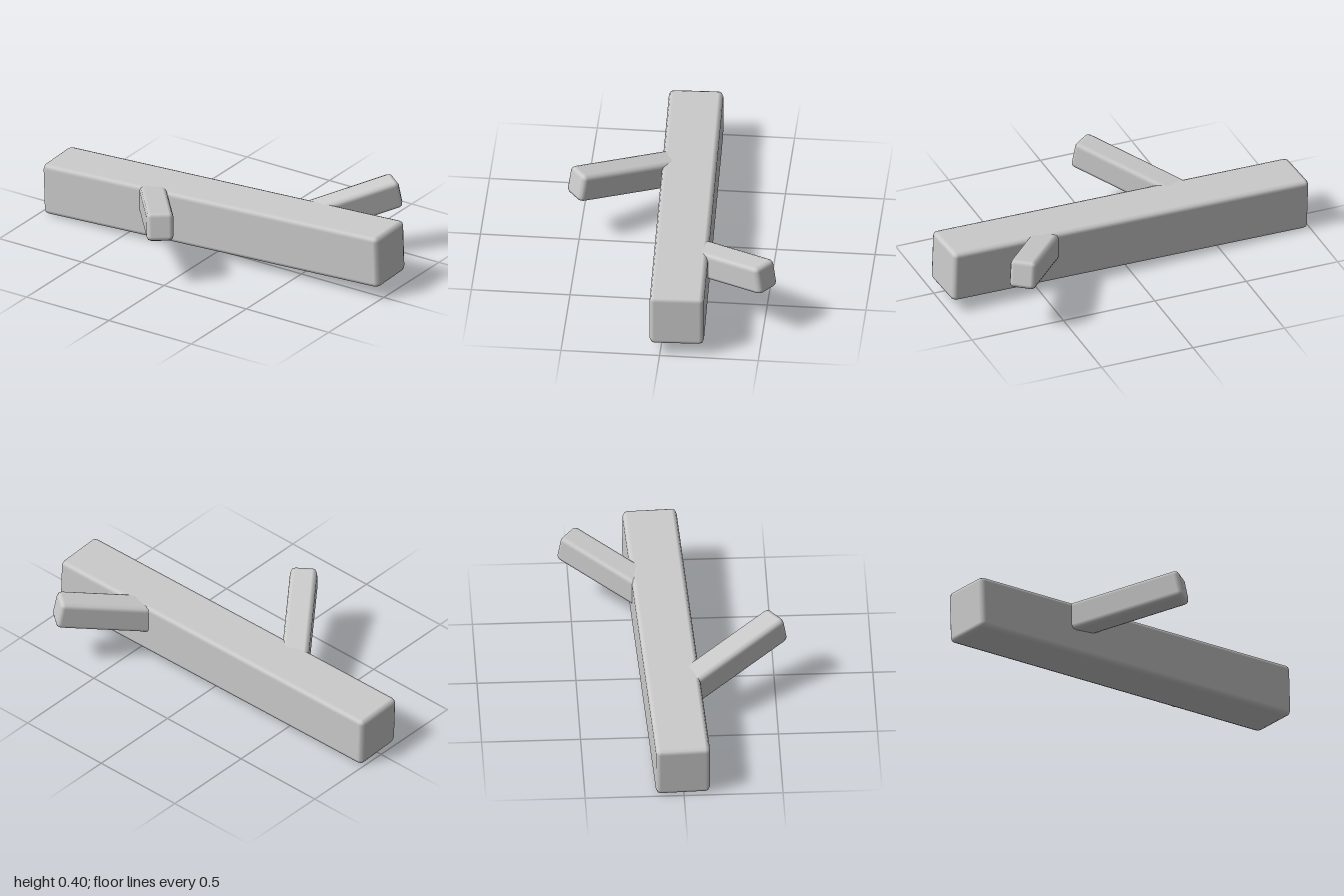
import * as THREE from 'three';
import { RoundedBoxGeometry } from 'three/addons/geometries/RoundedBoxGeometry.js';

export function createModel() {
  const group = new THREE.Group();
  group.name = 'branchedLog';
  const grey = new THREE.MeshStandardMaterial({ color: 0xcccccc });
  grey.name = 'light grey';

  // Softly bevelled beam running from one end point to the other
  function beam(name, from, to, width, height, bevel) {
    const a = new THREE.Vector3(...from);
    const b = new THREE.Vector3(...to);
    const geometry = new RoundedBoxGeometry(width, height, a.distanceTo(b), 1, bevel);
    const mesh = new THREE.Mesh(geometry, grey);
    mesh.name = name;
    mesh.position.copy(a).add(b).multiplyScalar(0.5);
    mesh.lookAt(b);
    group.add(mesh);
  }

  // Trunk: long square beam, slightly tilted and turned
  beam('trunk', [-0.99, 0.142, -0.003], [0.99, 0.208, -0.085], 0.275, 0.275, 0.025);

  // Side branches: rooted inside the trunk, rising outwards
  const length = 0.66;
  const yaw = THREE.MathUtils.degToRad(37.5);
  const rise = 0.197;
  for (const [name, tipX, side] of [['frontBranch', -0.008, 1], ['backBranch', 0.735, -1]]) {
    const tip = [tipX, 0.335, side * 0.522];
    const root = [
      tipX - Math.sin(yaw) * length,
      0.335 - rise * length,
      side * (0.522 - Math.cos(yaw) * length),
    ];
    beam(name, root, tip, 0.137, 0.15, 0.025);
  }

  return group;
}
